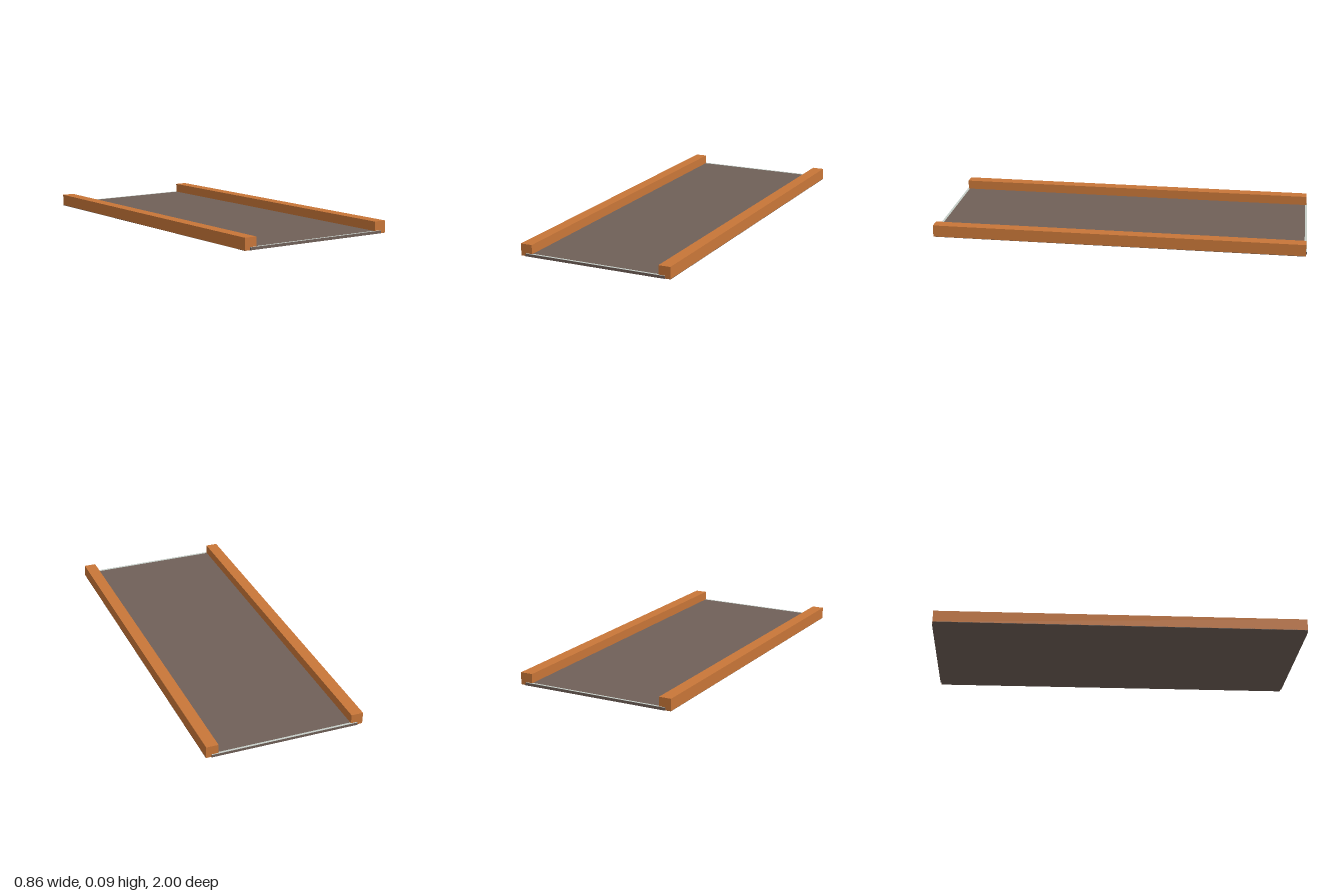
import * as THREE from 'three';

export function createModel() {
  const model = new THREE.Group();
  const ramp = new THREE.Group();
  ramp.name = 'ramp';

  const material = (name, color) => {
    const m = new THREE.MeshStandardMaterial({ color });
    m.name = name;
    return m;
  };
  const orange = material('orange rail', 0xc87638);
  const brown = material('brown deck', 0x706058);
  const pale = material('pale edge', 0xc6cec8);

  // box placed by its centre x, bottom y and centre z
  const box = (name, mat, [w, h, d], [x, y, z]) => {
    const mesh = new THREE.Mesh(new THREE.BoxGeometry(w, h, d), mat);
    mesh.name = name;
    mesh.position.set(x, y + h / 2, z);
    ramp.add(mesh);
  };

  // deck slab and the thin sheet covering the underside
  box('deck', brown, [0.8, 0.0145, 1.996], [0, 0.0005, 0]);
  box('underside', brown, [0.858, 0.002, 1.984], [0, 0, 0]);

  for (const side of [-1, 1]) {
    // side rail
    box(side > 0 ? 'leftRail' : 'rightRail', orange, [0.065, 0.063, 1.986], [side * 0.3965, 0.001, 0]);
    // pale strip along each end of the deck
    box(side > 0 ? 'frontEdge' : 'backEdge', pale, [0.8, 0.001, 0.012], [0, 0.0148, side * 0.992]);
  }

  // slight tilt: higher on the left and at the front
  ramp.rotation.set(-0.006, 0, 0.0186);
  ramp.position.y = 0.014;
  model.add(ramp);
  return model;
}
